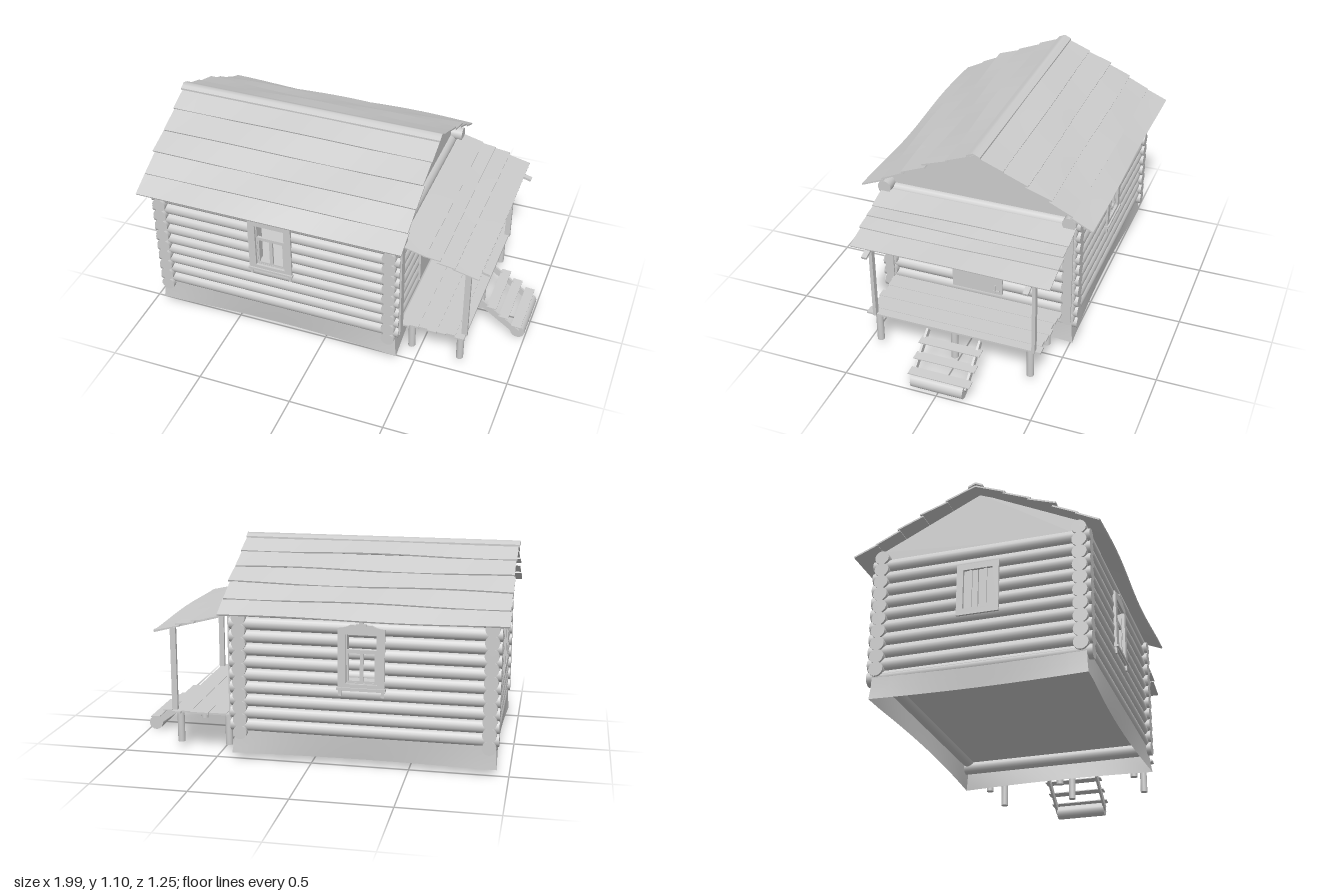
import * as THREE from 'three';

export function createModel() {
  const model = new THREE.Group();
  const wood = new THREE.MeshStandardMaterial({ color: 0xcccccc, side: THREE.DoubleSide });
  wood.name = 'grey wood';

  const group = (name, parent = model) => {
    const g = new THREE.Group();
    g.name = name;
    parent.add(g);
    return g;
  };
  const add = (parent, name, geo, x = 0, y = 0, z = 0) => {
    const m = new THREE.Mesh(geo, wood);
    m.name = name;
    m.position.set(x, y, z);
    parent.add(m);
    return m;
  };
  const box = (parent, name, w, h, d, x, y, z) =>
    add(parent, name, new THREE.BoxGeometry(w, h, d), x, y, z);

  // Round log along one axis, from a to b
  const log = (parent, name, axis, a, b, r, x, y, z) => {
    const geo = new THREE.CylinderGeometry(r, r, b - a, 18);
    if (axis === 'x') geo.rotateZ(Math.PI / 2);
    if (axis === 'z') geo.rotateX(Math.PI / 2);
    const m = add(parent, name, geo, x, y, z);
    m.position[axis] = (a + b) / 2;
    return m;
  };

  // Log walls, interlocked at the corners, with gaps at the windows
  const walls = group('logWalls');
  const X0 = -0.9, X1 = 0.365, Z0 = -0.49, Z1 = 0.505, R = 0.036;
  const FRONT_WINDOW = -0.28, BACK_WINDOW = -0.26;
  const runs = (a, b, gap) => (gap ? [[a, gap[0]], [gap[1], b]] : [[a, b]]);
  for (let i = 0; i < 10; i++) {
    const yz = 0.155 + i * 0.0667, yx = yz + 0.0333;
    const open = Math.abs(yx - 0.57) < 0.125;
    for (const [z, wx] of [[Z0, BACK_WINDOW], [Z1, FRONT_WINDOW]])
      for (const [a, b] of runs(-0.947, i === 9 ? 0.435 : 0.418, open && [wx - 0.085, wx + 0.085]))
        log(walls, 'longWallLog', 'x', a, b, R, 0, yx, z);
    for (const [a, b] of runs(-0.54, 0.555, Math.abs(yz - 0.54) < 0.1 && [-0.07, 0.086]))
      log(walls, 'leftEndLog', 'z', a, b, R, X0, yz, 0);
    log(walls, 'doorEndLog', 'z', -0.54, 0.555, R, X1, yz, 0);
  }
  box(model, 'floor', X1 - X0, 0.01, Z1 - Z0, (X0 + X1) / 2, 0.18, 0.008);

  // Foundation skirt, open below, tucked in midway and flaring at the corners
  const pos = [], index = [], N = 12;
  const corners = [[-1, 1], [1, 1], [1, -1], [-1, -1]];
  for (let s = 0; s < 4; s++) {
    const [ax, az] = corners[s], [bx, bz] = corners[(s + 1) % 4];
    const base = pos.length / 3;
    for (let i = 0; i <= N; i++) {
      const t = i / N, u = ax + (bx - ax) * t, v = az + (bz - az) * t;
      const flare = -0.01 + (u < -0.9 ? 0.02 : 0.026) * (2 * t - 1) ** 2;
      pos.push(-0.268 + u * 0.667, 0.165, 0.01 + v * 0.52);
      pos.push(-0.268 + u * (0.664 + flare * 0.4), 0.1, 0.01 + v * (0.518 + flare * 0.4));
      pos.push(-0.268 + u * (0.664 + flare), 0.039, 0.01 + v * (0.517 + flare));
      if (i < N) for (let k = 0; k < 2; k++) {
        const p = base + i * 3 + k;
        index.push(p, p + 1, p + 3, p + 1, p + 4, p + 3);
      }
    }
  }
  const skirt = new THREE.BufferGeometry();
  skirt.setAttribute('position', new THREE.Float32BufferAttribute(pos, 3));
  skirt.setIndex(index);
  skirt.computeVertexNormals();
  add(model, 'foundation', skirt);

  // Overlapping planks with lower edges that warp up and down; profile points are [outward, height]
  const planks = (parent, name, tips, start, length, amp, thick) => {
    let [z0, y0] = start;
    tips.forEach(([z1, y1], n) => {
      const w = Math.hypot(z1 - z0, y1 - y0);
      const geo = new THREE.BoxGeometry(length - (n % 2) * 0.008, thick, w, 24, 1, 1);
      const p = geo.attributes.position;
      for (let i = 0; i < p.count; i++) {
        if (p.getZ(i) < 0) continue;
        const wave = Math.sin(p.getX(i) * 5.5 + n * 2.1 + 1.57);
        p.setZ(i, p.getZ(i) + amp * 0.4 * wave);
        p.setY(i, p.getY(i) + amp * wave);
      }
      geo.computeVertexNormals();
      const m = add(parent, name, geo, 0, (y0 + y1) / 2, (z0 + z1) / 2);
      m.rotation.x = Math.atan2(y0 - y1, z1 - z0);
      z0 = z1 - 0.014;
      y0 = y1 - 0.007;
    });
  };

  // Main roof
  const tips = [[0.155, 1.03], [0.28, 0.969], [0.4, 0.91], [0.515, 0.848], [0.617, 0.785]];
  for (const turn of [0, Math.PI]) {
    const side = group('roofSlope');
    side.position.x = -0.268;
    side.rotation.y = turn;
    planks(side, 'roofPlank', tips, [0.0, 1.085], 1.436, 0.007, 0.008);
  }

  // Ridge cap, one strip bent smoothly over the peak
  const cap = new THREE.BoxGeometry(1.446, 0.01, 0.074, 1, 1, 4);
  const cp = cap.attributes.position;
  for (let i = 0; i < cp.count; i++) cp.setY(i, cp.getY(i) - Math.abs(cp.getZ(i)) * 0.45);
  cap.computeVertexNormals();
  add(model, 'ridgeCap', cap, -0.27, 1.097, 0.003);

  // Gable ends
  const shape = pts => new THREE.Shape(pts.map(p => new THREE.Vector2(...p)));
  const gable = shape([[-0.5, 0.76], [0.5, 0.76], [0.5, 0.842], [0, 1.084], [-0.5, 0.842]]);
  for (const x of [X0, X1]) {
    const geo = new THREE.ExtrudeGeometry(gable, { depth: 0.016, bevelEnabled: false });
    geo.translate(0, 0, -0.008);
    add(model, 'gable', geo, x, 0, 0.004).rotation.y = Math.PI / 2;
  }

  // Rectangular frame, extruded forward from z
  const rect = (w, h) => [[-w, -h], [w, -h], [w, h], [-w, h]];
  const addFrame = (parent, name, outline, w, h, depth, x, y, z) => {
    outline.holes.push(shape(rect(w, h)));
    add(parent, name, new THREE.ExtrudeGeometry(outline, { depth, bevelEnabled: false }), x, y, z);
  };

  // Long wall windows: shaped casing, sash, open top light and two casements, facing +z
  const makeWindow = (x, z, turn) => {
    const g = group('window');
    g.position.set(x, 0.57, z);
    g.rotation.y = turn;
    const h = 0.163, w = 0.118;
    const casing = shape([[-w, -h], [w, -h], [w, h - 0.005]]);
    casing.quadraticCurveTo(0.07, h, 0.055, h + 0.012);
    casing.lineTo(-0.055, h + 0.012);
    casing.quadraticCurveTo(-0.07, h, -w, h - 0.005);
    addFrame(g, 'windowCasing', casing, 0.08, 0.127, 0.014, 0, 0, 0.03);
    addFrame(g, 'windowSash', shape(rect(0.086, 0.132)), 0.074, 0.122, 0.06, 0, 0, -0.03);
    box(g, 'crossBar', 0.15, 0.012, 0.014, 0, 0.04, 0.022);
    for (const s of [-1, 1]) {
      addFrame(g, 'casement', shape(rect(0.037, 0.08)), 0.028, 0.07, 0.012, s * 0.037, -0.043, 0.016);
      box(g, 'casingFoot', 0.016, 0.03, 0.012, s * 0.108, -h - 0.012, 0.037);
    }
    box(g, 'sill', w * 2 + 0.01, 0.012, 0.022, 0, -h + 0.012, 0.041);
    box(g, 'crest', 0.022, 0.02, 0.012, 0, h + 0.02, 0.037);
    box(g, 'crestBar', 0.05, 0.008, 0.012, 0, h + 0.014, 0.04);
  };
  makeWindow(FRONT_WINDOW, Z1, 0);
  makeWindow(BACK_WINDOW, Z0, Math.PI);

  // Shuttered window on the left end
  const shuttered = group('shutteredWindow');
  shuttered.position.set(X0, 0.545, 0.008);
  shuttered.rotation.y = -Math.PI / 2;
  addFrame(shuttered, 'endCasing', shape(rect(0.105, 0.135)), 0.073, 0.103, 0.014, 0, 0, 0.03);
  for (const s of [-1, 1]) {
    box(shuttered, 'shutter', 0.07, 0.21, 0.012, s * 0.037, 0, 0.025);
    box(shuttered, 'shutterBatten', 0.014, 0.206, 0.006, s * 0.037, 0, 0.034);
  }

  // Door with latch and hinges
  const door = group('door');
  box(door, 'doorPanel', 0.02, 0.42, 0.277, 0.4, 0.452, 0.009);
  for (const y of [0.61, 0.45, 0.275]) {
    box(door, 'hingePlate', 0.008, 0.045, 0.008, 0.413, y, -0.093);
    box(door, 'hingeStrap', 0.008, 0.008, 0.03, 0.413, y - 0.012, -0.1);
  }

  // Porch deck on round legs
  const porch = group('porch');
  for (let i = 0; i < 7; i++)
    box(porch, 'deckPlank', 0.0495, 0.01, 0.95 - (i % 3) * 0.012, 0.435 + i * 0.049, 0.216 + (i % 2) * 0.002, 0.012);
  for (const x of [0.462, 0.724]) {
    for (const z of [-0.4, 0.01, 0.43])
      log(porch, 'porchLeg', 'y', 0.039, 0.212, 0.019, x, 0, z);
    box(porch, 'deckJoist', 0.02, 0.01, 0.86, x, 0.208, 0.012);
  }
  for (const z of [Z0, Z1]) box(porch, 'cornerBoard', 0.012, 0.58, 0.045, 0.421, 0.47, z);

  // Porch posts, rafters and roof
  for (const z of [-0.425, 0.44]) {
    box(porch, 'porchPost', 0.03, 0.45, 0.018, 0.745, 0.437, z);
    const rafter = box(porch, 'rafter', 0.45, 0.013, 0.028, 0.632, 0.696, z - 0.012 * Math.sign(z));
    rafter.rotation.z = -0.26;
  }
  const porchRoof = group('porchRoof', porch);
  porchRoof.rotation.y = Math.PI / 2;
  planks(porchRoof, 'porchRoofPlank',
    [[0.545, 0.741], [0.615, 0.722], [0.695, 0.701], [0.815, 0.669]], [0.41, 0.77], 1.05, 0.005, 0.006);

  // Steps down to a log
  const steps = group('steps');
  for (const z of [-0.14, 0.145])
    box(steps, 'stringer', 0.262, 0.036, 0.012, 0.852, 0.118, z).rotation.z = -0.62;
  for (const [x, y] of [[0.812, 0.176], [0.88, 0.128], [0.952, 0.085]])
    box(steps, 'tread', 0.052, 0.005, 0.33, x, y, -0.004).rotation.z = -0.08;
  log(steps, 'bottomLog', 'z', -0.138, 0.143, 0.038, 0.96, 0.04, 0);

  return model;
}
